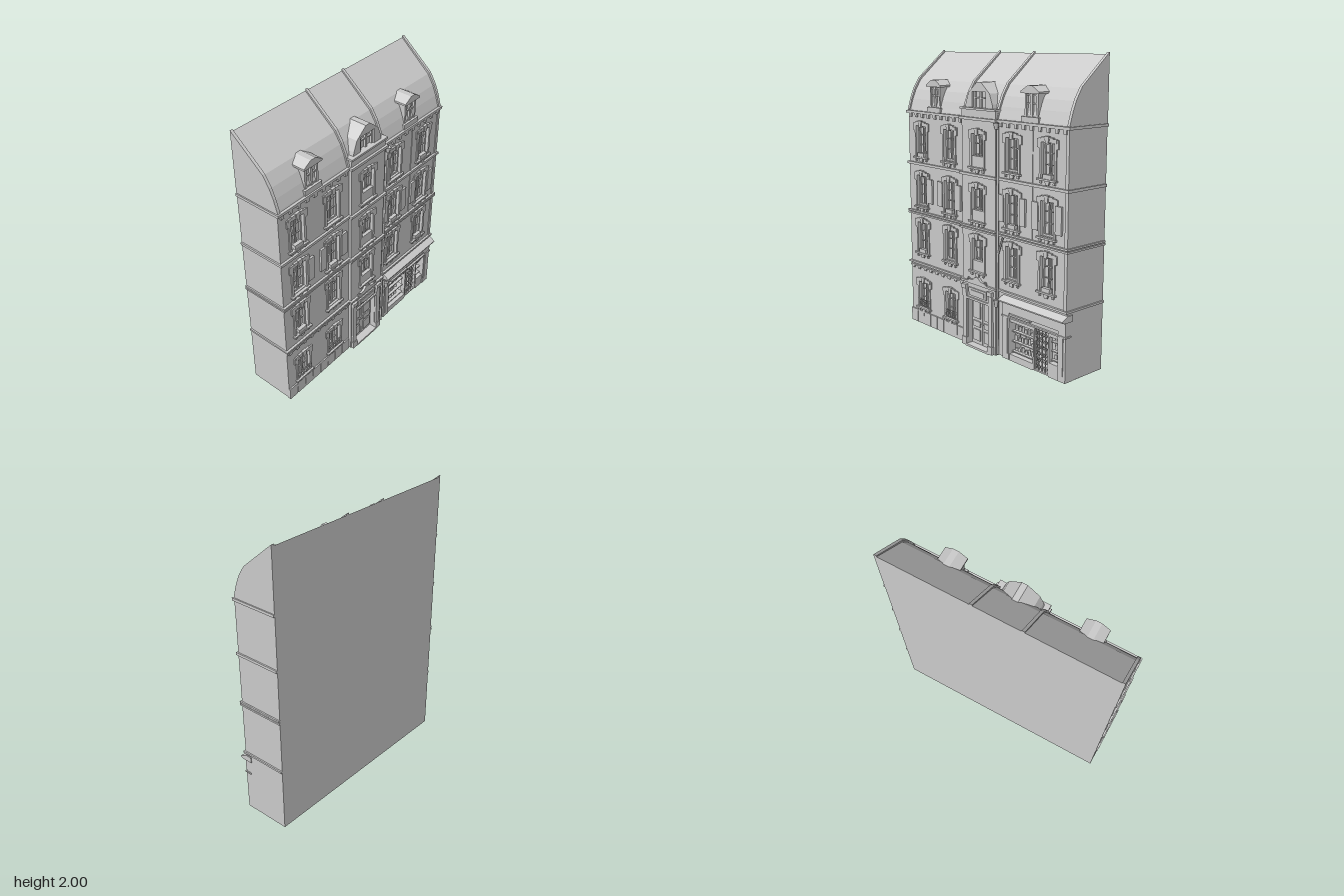
import * as THREE from 'three';

const mat = new THREE.MeshStandardMaterial({ color: 0xcccccc, side: THREE.DoubleSide });
const HALF = 0.79, BAY = 0.167;             // half width of the building and of its centre bay
const BACK = -0.17, CORE = 0.12, WALL = 0.155, BAYWALL = 0.175;
const COLS = [-0.64, -0.325, -0.006, 0.305, 0.617];
const ROWS = [[0.555, 0.775], [0.9, 1.12], [1.26, 1.475]];
const WIN = 0.055;                          // half width of a window opening

function add(parent, name, geo) {
  const m = new THREE.Mesh(geo, mat);
  m.name = name;
  parent.add(m);
  return m;
}
function box(parent, name, x0, x1, y0, y1, z0, z1) {
  const g = new THREE.BoxGeometry(x1 - x0, y1 - y0, z1 - z0);
  return add(parent, name, g.translate((x0 + x1) / 2, (y0 + y1) / 2, (z0 + z1) / 2));
}
const shapeOf = pts => new THREE.Shape(pts.map(p => new THREE.Vector2(...p)));
const extrude = (shape, depth) => new THREE.ExtrudeGeometry(shape, { depth, bevelEnabled: false, curveSegments: 8 });
// Front outline (x, y) pushed from z0 to z1
function slab(parent, name, pts, z0, z1, holes = []) {
  const s = shapeOf(pts);
  for (const [a, b, c, d] of holes) s.holes.push(new THREE.Path([[a, c], [b, c], [b, d], [a, d]].map(p => new THREE.Vector2(...p))));
  return add(parent, name, extrude(s, z1 - z0).translate(0, 0, z0));
}
// Side outline (z, y) swept along x
function sweep(parent, name, pts, x0, x1) {
  return add(parent, name, extrude(shapeOf(pts), x1 - x0).rotateY(-Math.PI / 2).translate(x1, 0, 0));
}
const rect = (a, b, c, d) => [[a, c], [b, c], [b, d], [a, d]];
function group(parent, name) {
  const g = new THREE.Group();
  g.name = name;
  parent.add(g);
  return g;
}
function bar(parent, name, a, b, r) {
  const va = new THREE.Vector3(...a), vb = new THREE.Vector3(...b);
  return add(parent, name, new THREE.TubeGeometry(new THREE.LineCurve3(va, vb), 1, r, 5));
}

// Casement with glazing bars, surround, lintel, sill and brackets; z is the wall face
function windowUnit(parent, x, y0, y1, z, style) {
  const g = group(parent, 'window');
  const b = (n, ...a) => box(g, n, x + a[0], x + a[1], a[2], a[3], z + a[4], z + a[5]);
  b('glass', -WIN, WIN, y0, y1, -0.034, -0.028);
  for (const s of [-1, 1]) {
    const p = (n, u0, u1, ...r) => b(n, Math.min(s * u0, s * u1), Math.max(s * u0, s * u1), ...r);
    p('frameSide', 0.043, WIN, y0, y1, -0.03, -0.015);
    p('sashSide', 0.003, 0.01, y0, y1, -0.03, -0.018);
    p('jamb', WIN, 0.072, y0 - 0.005, y1, -0.01, 0.008);
    p('lintelEar', 0.06, 0.088, y1 - 0.035, y1 + 0.02, -0.005, 0.008);
    p('sillBracket', 0.05, 0.065, y0 - 0.035, y0 - 0.015, -0.005, 0.012);
    for (const t of [0.35, 0.68]) p('glazingBar', 0.003, 0.045, y0 + t * (y1 - y0), y0 + t * (y1 - y0) + 0.006, -0.03, -0.02);
  }
  for (const y of [y0, y1 - 0.012]) b('frameRail', -WIN, WIN, y, y + 0.012, -0.03, -0.015);
  b('lintel', -0.075, 0.075, y1, y1 + 0.024, -0.005, 0.01);
  b('lintelCap', -0.05, 0.05, y1 + 0.024, y1 + 0.032, -0.005, 0.014);
  slab(g, 'keystone', [[x - 0.012, y1 - 0.008], [x + 0.012, y1 - 0.008], [x + 0.018, y1 + 0.038], [x - 0.018, y1 + 0.038]], z - 0.005, z + 0.018);
  b('sill', -0.082, 0.082, y0 - 0.016, y0 - 0.004, -0.01, 0.02);
  slab(g, 'sillCorbel', [[x - 0.012, y0 - 0.042], [x + 0.012, y0 - 0.042], [x + 0.02, y0 - 0.016], [x - 0.02, y0 - 0.016]], z - 0.005, z + 0.012);
  if (style === 'box') b('flowerBox', -0.035, 0.035, y0 - 0.004, y0 + 0.024, -0.012, 0.014);
  if (style === 'panel') b('balconyPanel', -0.052, 0.052, y0, y0 + 0.07, -0.02, 0.004);
  if (style === 'grille') {
    for (let i = 0; i <= 8; i++) bar(g, 'grilleBar', [x - 0.06 + i * 0.015, y0, z + 0.008], [x - 0.06 + i * 0.015, y0 + 0.055, z + 0.008], 0.002);
    for (const h of [0.008, 0.04, 0.055]) b('grilleRail', -0.065, 0.065, y0 + h, y0 + h + 0.004, 0.005, 0.011);
  }
}

function buildShop(parent) {
  const g = group(parent, 'shop');
  const p = (n, ...a) => box(g, n, ...a);
  p('leftPilaster', 0.225, 0.285, 0.01, 0.36, 0.1, 0.165);
  p('rightPilaster', 0.725, HALF, 0.01, 0.36, 0.1, 0.165);
  for (const x of [0.24, 0.74]) p('pilasterPanel', x, x + 0.032, 0.05, 0.3, 0.16, 0.17);
  for (const x of [0.5, 0.632]) p('mullion', x, x + 0.012, 0.01, 0.3, 0.12, 0.155);
  p('leftStallRiser', 0.285, 0.5, 0.005, 0.05, 0.1, 0.158);
  p('rightStallRiser', 0.644, 0.725, 0.005, 0.1, 0.1, 0.158);
  p('shopFloor', 0.225, 0.78, 0.005, 0.015, 0, 0.15);
  p('head', 0.225, HALF, 0.29, 0.44, 0.1, 0.157);
  p('fascia', 0.225, HALF, 0.335, 0.4, 0.12, 0.168);
  p('fasciaMoulding', 0.22, 0.797, 0.3, 0.31, 0.12, 0.172);
  p('hangingPanel', 0.3, 0.49, 0.322, 0.334, 0.12, 0.18);
  sweep(g, 'shopCornice', [[0.11, 0.4], [0.18, 0.4], [0.203, 0.408], [0.203, 0.416], [0.155, 0.442], [0.11, 0.442]], 0.22, 0.797);
  // Shelves filled with boxes and jars
  let seed = 7;
  const rnd = () => (seed = (seed * 16807) % 2147483647) / 2147483647;
  for (const [x0, x1, ys] of [[0.285, 0.5, [0.06, 0.13, 0.2]], [0.644, 0.725, [0.11, 0.17, 0.23]]]) {
    for (const y of ys) {
      p('shelf', x0, x1, y, y + 0.007, 0.05, 0.135);
      for (let x = x0 + 0.015; x < x1 - 0.02; x += 0.03) {
        const h = 0.016 + 0.026 * rnd();
        if (rnd() < 0.5) p('goodsBox', x - 0.008, x + 0.014, y + 0.007, y + 0.007 + h, 0.085, 0.115);
        else add(g, 'jar', new THREE.CylinderGeometry(0.008, 0.01, h, 8).translate(x, y + 0.007 + h / 2, 0.105));
      }
    }
    p('windowHead', x0, x1, 0.272, 0.29, 0.125, 0.155);
  }
  // Folding lattice gate
  for (let i = 0; i < 4; i++) {
    const x = 0.514 + i * 0.029;
    for (let j = 0; j < 6; j++) {
      const y = 0.02 + j * 0.044;
      bar(g, 'gateLattice', [x, y, 0.14], [x + 0.029, y + 0.044, 0.14], 0.002);
      bar(g, 'gateLattice', [x + 0.029, y, 0.143], [x, y + 0.044, 0.143], 0.002);
    }
    p('gatePost', x - 0.002, x + 0.002, 0.015, 0.29, 0.138, 0.146);
  }
}

function buildEntrance(parent) {
  const g = group(parent, 'entrance'), c = -0.006, z = BAYWALL;
  const p = (n, x0, x1, ...r) => box(g, n, c + x0, c + x1, ...r);
  for (const s of [-1, 1]) {
    const q = (n, a, b, ...r) => p(n, Math.min(s * a, s * b), Math.max(s * a, s * b), ...r);
    q('doorLeaf', 0.002, 0.108, 0.015, 0.34, 0.125, 0.138);
    for (const [y0, y1] of [[0.04, 0.12], [0.14, 0.18], [0.2, 0.32]]) q('doorPanel', 0.02, 0.09, y0, y1, 0.135, 0.145);
    q('pilaster', 0.112, 0.15, 0.005, 0.44, z - 0.01, z + 0.014);
    q('pilasterBase', 0.108, 0.155, 0.005, 0.06, z - 0.01, z + 0.02);
    q('pilasterCapital', 0.108, 0.155, 0.41, 0.44, z - 0.01, z + 0.022);
    add(g, 'doorKnob', new THREE.SphereGeometry(0.006, 8, 6).translate(c + s * 0.012, 0.17, 0.145));
    add(g, 'scroll', new THREE.TorusGeometry(0.011, 0.005, 6, 12).translate(c + s * 0.085, 0.483, z + 0.012));
  }
  p('doorHead', -0.112, 0.112, 0.34, 0.355, z - 0.02, z + 0.012);
  p('plaque', -0.09, 0.09, 0.37, 0.425, z - 0.01, z + 0.01);
  p('plaqueField', -0.07, 0.07, 0.383, 0.412, z, z + 0.015);
  p('threshold', -0.12, 0.12, 0, 0.015, 0.12, z + 0.02);
  const s = new THREE.Shape();
  s.moveTo(-0.1, 0.47); s.lineTo(0.1, 0.47);
  s.bezierCurveTo(0.07, 0.5, 0.04, 0.475, 0.025, 0.505);
  s.quadraticCurveTo(0, 0.52, -0.025, 0.505);
  s.bezierCurveTo(-0.04, 0.475, -0.07, 0.5, -0.1, 0.47);
  add(g, 'carvedPediment', extrude(s, 0.025).translate(c, 0, z - 0.008));
}

function buildRoof(parent) {
  const g = group(parent, 'roof');
  const line = [[WALL, 1.57], [0.15, 1.59], [0.128, 1.66], [0.1, 1.725], [0.055, 1.795], [BACK, 1.988]];
  sweep(g, 'mansard', [[BACK, 1.57], ...line], -HALF, HALF);
  const raised = line.map(([z, y]) => [z === BACK ? z : z + 0.007, y + 0.012]);
  for (const x of [-0.782, -0.172, 0.16, 0.782]) sweep(g, 'roofRib', [[BACK, 1.57], ...raised], x - 0.01, x + 0.01);
  // Small gabled dormers
  for (const x of [-0.49, 0.46]) {
    const d = group(g, 'dormer');
    const p = (n, a, b, ...r) => box(d, n, x + a, x + b, ...r);
    p('dormerBody', -0.056, 0.056, 1.58, 1.765, 0, 0.132);
    slab(d, 'dormerRoof', [[-0.078, 1.755], [0.078, 1.755], [0.078, 1.768], [0.02, 1.803], [-0.02, 1.803], [-0.078, 1.768]].map(([a, y]) => [a + x, y]), 0, 0.162);
    p('dormerSill', -0.074, 0.074, 1.575, 1.615, 0.09, 0.16);
    for (const s of [-0.05, 0, 0.05]) p('dormerFrame', s - 0.008, s + 0.008, 1.615, 1.755, 0.12, 0.146);
    for (const y of [1.615, 1.69, 1.74]) p('dormerRail', -0.05, 0.05, y, y + 0.01, 0.12, 0.142);
  }
  // Central dormer behind a low parapet
  const c = group(g, 'centralDormer');
  const arch = k => [[-0.137, 1.635], [-0.13, 1.67], [-0.103, 1.738], [-0.02, 1.806], [0.02, 1.806], [0.103, 1.738], [0.13, 1.67], [0.137, 1.635]].map(([x, y]) => [x * k - 0.003, 1.635 + (y - 1.635) * k]);
  slab(c, 'dormerHood', arch(1), 0, 0.166, [[-0.07, 0.064, 1.64, 1.745]]);
  slab(c, 'dormerInfill', arch(0.95), 0, 0.14);
  for (const x of [-0.062, -0.003, 0.056]) box(c, 'dormerFrame', x - 0.007, x + 0.007, 1.64, 1.745, 0.135, 0.155);
  box(c, 'dormerRail', -0.07, 0.064, 1.7, 1.708, 0.135, 0.152);
  box(c, 'parapet', -BAY, BAY, 1.57, 1.63, 0.05, BAYWALL);
  box(c, 'parapetCap', -BAY - 0.008, BAY + 0.008, 1.628, 1.642, 0.05, BAYWALL + 0.012);
}

export function createModel() {
  const model = new THREE.Group();
  model.name = 'townhouse';
  const g = group(model, 'building');
  g.rotation.y = Math.PI / 2 + 0.0885;

  // Core: the ground floor is notched for the shop, storeys above are solid
  const plan = [[-HALF, -BACK], [HALF, -BACK], [HALF, -CORE], [0.775, -CORE], [0.775, 0], [0.23, 0], [0.23, -CORE], [-HALF, -CORE]];
  add(g, 'groundFloor', extrude(shapeOf(plan), 0.43).rotateX(-Math.PI / 2).translate(0, 0.012, 0));
  box(g, 'upperFloors', -HALF, HALF, 0.44, 1.57, BACK, CORE);

  // Front walls with window openings
  const opening = (x, [y0, y1]) => [x - WIN, x + WIN, y0, y1];
  const holes = cols => cols.flatMap(i => ROWS.map(r => opening(COLS[i], r)));
  const ground = [0.135, 0.325];
  slab(g, 'leftWall', rect(-HALF, -BAY, 0.012, 1.57), CORE, WALL, [...holes([0, 1]), ...[0, 1].map(i => opening(COLS[i], ground))]);
  slab(g, 'centreWall', rect(-BAY, BAY, 0.005, 1.57), CORE, BAYWALL, [...holes([2]), [-0.114, 0.102, 0.012, 0.34]]);
  slab(g, 'rightWall', rect(BAY, HALF, 0.44, 1.57), CORE, WALL, holes([3, 4]));
  box(g, 'shopSideWall', BAY, 0.225, 0.012, 0.44, CORE - 0.02, WALL);

  COLS.forEach((x, i) => {
    ROWS.forEach(([y0, y1], r) => {
      const style = i === 2 ? 'panel' : (i + r) % 2 ? 'plain' : 'box';
      windowUnit(g, x, y0, y1, i === 2 ? BAYWALL : WALL, style);
    });
    if (i < 2) windowUnit(g, x, ...ground, WALL, 'grille');
  });

  // Open shutters on the middle storey
  for (const [i, s] of [[0, 1], [1, -1], [1, 1], [3, -1], [3, 1], [4, -1], [4, 1]]) {
    const x = COLS[i] + s * 0.1;
    box(g, 'shutter', x - 0.026, x + 0.026, 0.93, 1.105, WALL, WALL + 0.014);
  }

  // String courses wrapping the ends and stepping round the centre bay
  for (const [y, h] of [[0.458, 0.014], [0.83, 0.012], [0.847, 0.012], [1.195, 0.018], [1.562, 0.018]]) {
    box(g, 'stringCourse', -0.8, 0.8, y, y + h, BACK, WALL + 0.016);
    box(g, 'bayStringCourse', -BAY - 0.012, BAY + 0.012, y, y + h, CORE, BAYWALL + 0.016);
  }
  // Brackets and dentils
  for (const [a, b] of [[-0.76, -0.2], [0.2, 0.76]])
    for (let k = 0; k <= 8; k++) {
      const x = a + (b - a) * k / 8;
      box(g, 'bracket', x - 0.012, x + 0.012, 1.535, 1.562, WALL - 0.01, WALL + 0.012);
      if (a < 0) box(g, 'dentil', x - 0.012, x + 0.012, 0.42, 0.435, WALL - 0.01, WALL + 0.01);
    }
  box(g, 'dentilBand', -HALF, -BAY, 0.435, 0.445, WALL - 0.01, WALL + 0.012);
  // Plinth blocks
  for (let k = 0; k < 8; k++) box(g, 'plinthBlock', -HALF + k * 0.0775, -HALF + k * 0.0775 + 0.074, 0.005, 0.1, WALL - 0.01, WALL + 0.01);
  box(g, 'cornerStrip', 0.765, HALF, 0.472, 1.562, WALL - 0.01, WALL + 0.006);
  box(g, 'wallSeam', 0.482, 0.488, 0.86, 1.562, WALL - 0.01, WALL + 0.004);

  buildEntrance(g);
  buildShop(g);
  buildRoof(g);

  // Rainwater pipe with a branch, hopper and wall lamp
  const px = 0.185, pz = 0.172;
  bar(g, 'downpipe', [px, 0.02, pz], [px, 1.56, pz], 0.008);
  bar(g, 'branchPipe', [px, 0.7, pz], [0.235, 0.83, pz], 0.007);
  add(g, 'hopper', new THREE.CylinderGeometry(0.02, 0.01, 0.04, 10).translate(px, 1.54, pz + 0.012));
  add(g, 'lamp', new THREE.CylinderGeometry(0.018, 0.01, 0.05, 6).translate(0.2, 0.385, 0.2));
  box(g, 'lampArm', 0.197, 0.203, 0.41, 0.418, WALL, 0.205);
  return model;
}
